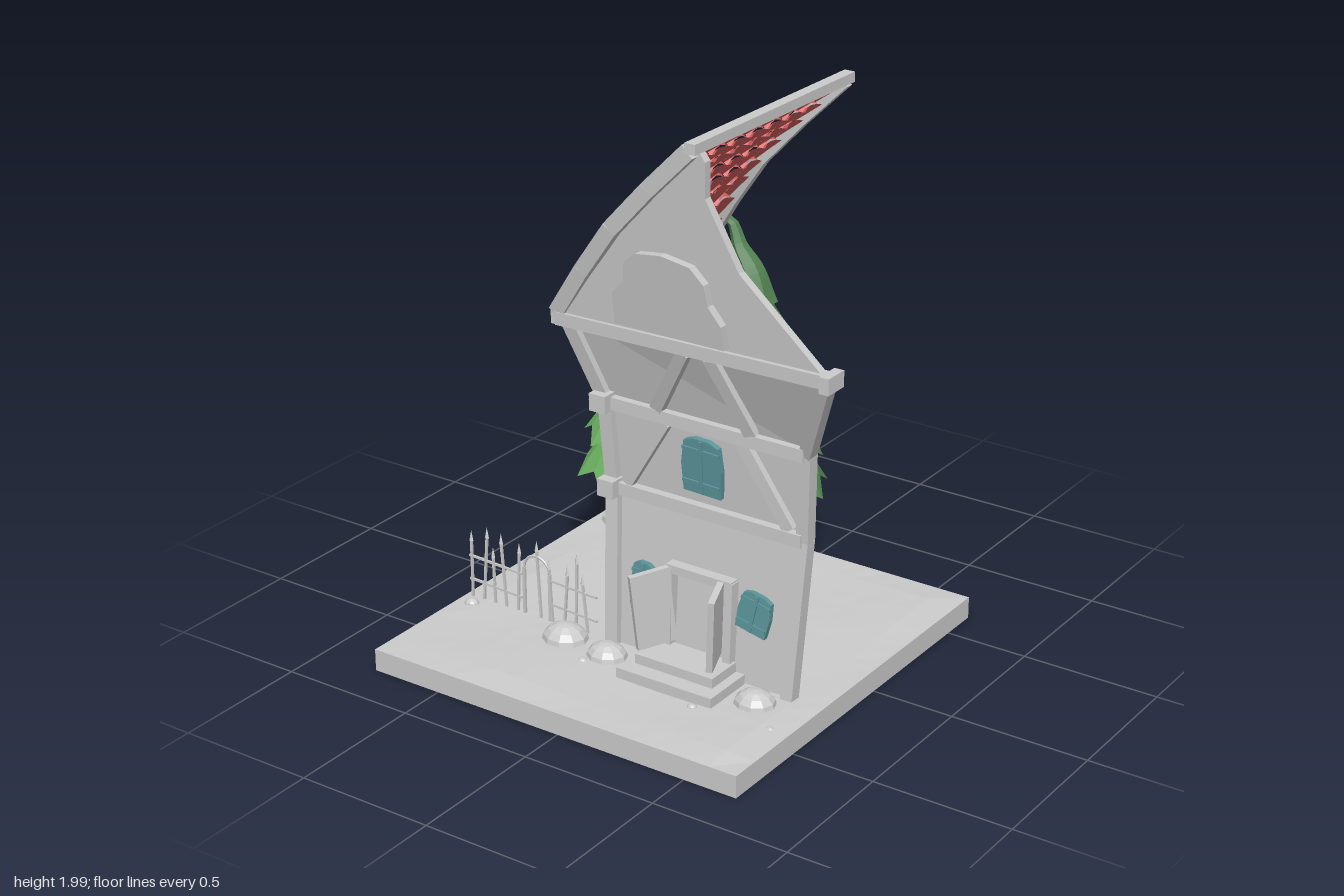
import * as THREE from 'three';

const V = (x, y, z) => new THREE.Vector3(x, y, z);
const mat = (color) => new THREE.MeshStandardMaterial({ color, flatShading: true, side: THREE.DoubleSide });
const grey = mat(0xcccccc), red = mat(0xd66060), teal = mat(0x5c969b);
const lightGreen = mat(0x70b865), darkGreen = mat(0x548353);

function add(parent, name, geometry, material = grey, x = 0, y = 0, z = 0) {
  const m = new THREE.Mesh(geometry, material);
  m.name = name;
  m.position.set(x, y, z);
  parent.add(m);
  return m;
}
// Surface through equal-length rows of points
function loft(rows) {
  const n = rows[0].length, index = [];
  for (let i = 0; i < rows.length - 1; i++) for (let j = 0; j < n - 1; j++) {
    const a = i * n + j;
    index.push(a, a + 1, a + n, a + 1, a + n + 1, a + n);
  }
  const g = new THREE.BufferGeometry().setFromPoints(rows.flat());
  g.setIndex(index);
  g.computeVertexNormals();
  return g;
}
// Rectangular timber from a to b, its depth facing "out"
function beam(parent, name, a, b, w, d, out = V(0, 0, 1)) {
  const y = b.clone().sub(a), len = y.length();
  y.normalize();
  const x = y.clone().cross(out).normalize(), z = x.clone().cross(y);
  const m = add(parent, name, new THREE.BoxGeometry(w, len, d));
  m.quaternion.setFromRotationMatrix(new THREE.Matrix4().makeBasis(x, y, z));
  m.position.copy(a).add(b).multiplyScalar(0.5);
}
const extrude = (pts, depth) => new THREE.ExtrudeGeometry(
  new THREE.Shape(pts.map(([x, y]) => new THREE.Vector2(x, y))), { depth, bevelEnabled: false });
// Leans a panel forward with height and to the right-hand end of the gable
function lean(g, y0, k) {
  const p = g.attributes.position;
  for (let i = 0; i < p.count; i++) p.setZ(i, p.getZ(i) + (p.getY(i) - y0) * k + p.getX(i) * 0.043);
  g.computeVertexNormals();
  return g;
}

// Wall levels: y, left x, right x, front z at the right, back z, front z at the left
const levels = [[0.03, -0.13, 0.57, 0.33, -0.335, 0.33], [0.65, -0.15, 0.6, 0.285, -0.32, 0.285],
  [0.97, -0.16, 0.62, 0.31, -0.35, 0.31], [1.28, -0.26, 0.76, 0.43, -0.48, 0.39]];
function at(y) {
  let i = 0;
  while (i < 2 && y > levels[i + 1][0]) i++;
  const t = (y - levels[i][0]) / (levels[i + 1][0] - levels[i][0]);
  return levels[i].map((v, k) => v + (levels[i + 1][k] - v) * t);
}
function onFront(x, y, off = 0.01) {
  const [, l, r, fr, , fl] = at(y);
  return V(x, y, fl + (fr - fl) * (x - l) / (r - l) + off);
}
const onSide = (z, y, off = 0.02) => V(at(y)[1] - off, y, z);

// Roof slope: s runs eave to ridge, t runs front to back, both 0 to 1
const profile = new THREE.CatmullRomCurve3([V(-0.285, 1.28, 0), V(-0.02, 1.64, 0), V(0.3, 1.965, 0)]);
const frontEdge = new THREE.CatmullRomCurve3([V(0, 0.41, 0), V(0.45, 0.47, 0), V(1, 0.5, 0)]);
const backEdge = new THREE.CatmullRomCurve3([V(0, -0.46, 0), V(0.45, -0.385, 0), V(1, -0.39, 0)]);
function roofPoint(s, t, lift = 0) {
  const p = profile.getPoint(s), f = frontEdge.getPoint(s).y, b = backEdge.getPoint(s).y;
  return V(p.x - lift * 0.75, p.y + lift * 0.65, f + (b - f) * t);
}

function paneWindow(parent, name, pos, w, h, ry = 0, rz = 0, rx = 0) {
  const g = new THREE.Group();
  g.name = name;
  const a = w / 2, b = h / 2;
  add(g, 'pane', extrude([[-a * 0.95, -b], [a, -b], [a * 1.05, 0], [a * 0.9, b * 0.85], [a * 0.4, b],
    [-a * 0.4, b], [-a * 0.9, b * 0.85], [-a * 1.05, 0]], 0.02), teal);
  add(g, 'mullion', new THREE.BoxGeometry(0.014, h * 0.96, 0.008), teal, 0, 0, 0.022);
  for (const k of [-0.3, 0.3]) add(g, 'glazingBar', new THREE.BoxGeometry(w * 0.96, 0.012, 0.008), teal, 0, h * k, 0.022);
  g.position.copy(pos);
  g.rotation.set(rx, ry, rz, 'YXZ');
  parent.add(g);
}

function tree(parent, name, material, x, z, bow, bend, curl, R) {
  const g = new THREE.Group();
  g.name = name;
  const centre = (y) => V(x + bow.x * Math.pow((y - 0.08) / 1.2, 3), y, z + bow.z * Math.pow((y - 0.08) / 1.2, 3));
  const trunk = new THREE.CatmullRomCurve3([V(x, 0.075, z), V(x, 0.16, z - bend), V(x, 0.26, z + bend), V(x, 0.42, z)]);
  add(g, 'trunk', new THREE.TubeGeometry(trunk, 6, 0.052, 7), material);
  // Jagged skirts of needles, alternating long and short points
  const tiers = [[0.34, 0.62, 1], [0.48, 0.76, 0.86], [0.62, 0.89, 0.74], [0.76, 1.0, 0.61], [0.9, 1.12, 0.45]];
  tiers.forEach(([y0, y1, r], k) => {
    const rows = [[], [], []], c = centre(y0), top = centre(y1), n = 16;
    for (let i = 0; i <= n; i++) {
      const a = (i / n) * Math.PI * 2 + k * 0.5, dir = V(Math.cos(a), 0, Math.sin(a)), tip = i % 2 === 0;
      const wob = 1 + 0.06 * Math.sin(2 * a + k);
      rows[0].push(c.clone().addScaledVector(dir, R * r * wob * (tip ? 1.03 : 0.87)).add(V(0, tip ? -0.025 : 0.025, 0)));
      rows[1].push(c.clone().lerp(top, 0.4).addScaledVector(dir, R * r * 0.62));
      rows[2].push(top.clone().addScaledVector(dir, R * r * 0.24));
    }
    add(g, 'needleTier', loft(rows.reverse()), material);
  });
  // Tapered crown ending in a hooked tip
  const path = new THREE.CatmullRomCurve3([centre(1.0), centre(1.12), ...curl.map((p) => V(...p))]);
  const crown = new THREE.TubeGeometry(path, 20, 1, 6), p = crown.attributes.position;
  for (let i = 0; i < p.count; i++) {
    const u = Math.floor(i / 7) / 20, c = path.getPointAt(u), v = V(0, 0, 0).fromBufferAttribute(p, i);
    v.sub(c).multiplyScalar(0.012 + 0.06 * Math.pow(1 - u, 2)).add(c);
    p.setXYZ(i, v.x, v.y, v.z);
  }
  add(g, 'crown', crown, material);
  parent.add(g);
}

export function createModel() {
  const model = new THREE.Group();
  const house = new THREE.Group();
  house.name = 'house';
  model.add(house);

  // Ground slab, open underneath
  const ground = new THREE.PlaneGeometry(1.47, 1.47, 14, 14).rotateX(-Math.PI / 2), gp = ground.attributes.position;
  for (let i = 0; i < gp.count; i++) {
    const x = gp.getX(i), z = gp.getZ(i), edge = Math.max(Math.abs(x), Math.abs(z)) > 0.73;
    if (!edge) gp.setY(i, 0.005 + 0.005 * Math.sin(x * 7) * Math.cos(z * 6));
  }
  add(model, 'ground', ground, grey, -0.035, 0.08, 0.095);
  add(model, 'groundRim', new THREE.CylinderGeometry(1.0394, 1.0394, 0.08, 4, 1, true).rotateY(Math.PI / 4), grey, -0.035, 0.04, 0.095);

  // Front wall and left-hand wall; the other two sides stay open
  add(house, 'frontWall', loft(levels.map(([y, l, r, fr, , fl]) => [V(l, y, fl), V(r, y, fr)])));
  add(house, 'sideWall', loft(levels.map(([y, l, , , b, fl]) => [V(l, y, b), V(l, y, fl)])));
  const side = V(-1, 0, 0);
  for (let i = 0; i < 3; i++) {
    const [y0, l0, r0, fr0, b0, fl0] = levels[i], [y1, l1, r1, fr1, b1, fl1] = levels[i + 1];
    beam(house, 'cornerPost', V(l0, y0, fl0), V(l1, y1, fl1), 0.05, 0.05);
    beam(house, 'cornerPost', V(r0, y0, fr0), V(r1, y1, fr1), 0.045, 0.045);
    beam(house, 'cornerPost', V(l0, y0, b0), V(l1, y1, b1), 0.05, 0.05);
  }
  beam(house, 'sill', V(-0.14, 0.06, 0.328), V(0.57, 0.06, 0.328), 0.05, 0.035);
  beam(house, 'sill', V(-0.13, 0.06, 0.33), V(-0.13, 0.06, -0.34), 0.05, 0.035, side);
  for (const y of [0.655, 0.97]) {
    const [, l, r, , b, fl] = at(y);
    beam(house, 'floorBeam', onFront(l - 0.01, y), onFront(r, y), 0.045, 0.045);
    beam(house, 'floorBeam', onSide(fl, y), onSide(b, y), 0.045, 0.035, side);
    add(house, 'beamEnd', new THREE.BoxGeometry(0.064, 0.062, 0.09), grey, l + 0.002, y + 0.003, fl + 0.02);
  }
  beam(house, 'eaveBeam', V(-0.28, 1.265, 0.405), V(0.81, 1.31, 0.46), 0.045, 0.05);
  add(house, 'beamEnd', new THREE.BoxGeometry(0.035, 0.055, 0.09), grey, 0.795, 1.31, 0.462);
  beam(house, 'eaveBeam', V(-0.28, 1.265, 0.42), V(-0.28, 1.265, -0.525), 0.05, 0.05, side);

  // Diagonal braces
  for (const [x0, y0, x1, y1] of [[-0.09, 0.68, 0.08, 0.95], [0.55, 0.68, 0.38, 0.95], [0.05, 0.99, 0.22, 1.26], [0.42, 0.99, 0.32, 1.26]])
    beam(house, 'brace', onFront(x0, y0), onFront(x1, y1), 0.045, 0.03);
  for (const [z0, y0, z1, y1] of [[0.25, 0.68, 0.07, 0.95], [-0.28, 0.68, -0.1, 0.95], [0.2, 0.99, 0.06, 1.26], [-0.22, 0.99, -0.08, 1.26]])
    beam(house, 'brace', onSide(z0, y0), onSide(z1, y1), 0.045, 0.03, side);

  // Gable with its raised panel
  add(house, 'gable', lean(extrude([[-0.27, 1.27], [0.78, 1.31], [0.46, 1.59], [0.34, 1.81], [0.345, 1.93], [0.305, 1.985],
    [0.14, 1.83], [-0.03, 1.66], [-0.17, 1.475], [-0.29, 1.31]], 0.03), 1.28, 0.06), grey, 0, 0, 0.4);
  add(house, 'gablePanel', lean(extrude([[0, 1.33], [0.43, 1.34], [0.425, 1.42], [0.38, 1.48], [0.37, 1.55], [0.32, 1.6], [0.21, 1.615],
    [0.11, 1.6], [0.06, 1.56], [0.05, 1.49], [0, 1.44]], 0.03), 1.33, 0.13), grey, 0, 0, 0.455);

  // Roof frame
  for (const t of [0, 1]) for (let i = 0; i < 4; i++)
    beam(house, 'bargeBoard', roofPoint(i / 4, t), roofPoint((i + 1) / 4, t), 0.03, 0.055, V(-0.7, 0.7, 0));
  beam(house, 'ridgeBoard', V(0.31, 1.975, 0.515), V(0.31, 1.975, -0.405), 0.04, 0.035, V(0, 1, 0));

  // Curved roof tiles in overlapping courses, hollowed along their lower edges
  const tiles = new THREE.Group();
  tiles.name = 'roofTiles';
  house.add(tiles);
  const N = 8;
  for (let c = 0; c < N; c++) for (let k = 0; k < N; k++) {
    const rows = [[], [], [], []];
    const s = 0.97 * (c + 0.07 * ((k * 3 + c) % 3)) / N;
    for (let j = 0; j <= 4; j++) {
      const q = j / 4, arch = Math.sin(q * Math.PI), t = 0.02 + 0.96 * (k + 0.015 + 0.97 * q) / N;
      rows[0].push(roofPoint(s + 0.02 * arch, t, -0.012 + 0.016 * arch));
      rows[1].push(roofPoint(s + 0.02 * arch, t, 0.004 + 0.016 * arch));
      rows[2].push(roofPoint(s + 0.07, t, -0.006 + 0.016 * arch));
      rows[3].push(roofPoint(Math.min(1, s + 0.145), t, -0.016 + 0.014 * arch));
    }
    add(tiles, 'tile', loft(rows), red);
  }

  // Windows
  paneWindow(house, 'upperWindow', onFront(0.217, 0.82, 0), 0.15, 0.2, 0, -0.03, 0.08);
  paneWindow(house, 'lowerWindow', onFront(-0.018, 0.33, 0), 0.085, 0.16, 0, -0.06, -0.07);
  paneWindow(house, 'lowerWindow', onFront(0.43, 0.35, 0), 0.12, 0.14, 0, -0.2, -0.07);
  for (const z of [0.17, -0.2]) paneWindow(house, 'sideWindow', onSide(z, 0.82, 0.008), 0.13, 0.2, -Math.PI / 2);
  add(house, 'wallCabinet', new THREE.BoxGeometry(0.1, 0.26, 0.19), grey, -0.1, 0.84, 0.13);
  add(house, 'cupboard', new THREE.BoxGeometry(0.1, 0.35, 0.17), grey, 0.38, 0.3, 0.185);

  // Doorway with open leaves and steps
  beam(house, 'doorLintel', V(0.09, 0.43, 0.32), V(0.35, 0.43, 0.32), 0.03, 0.04);
  for (const x of [0.1, 0.34]) beam(house, 'doorJamb', V(x, 0.14, 0.335), V(x, 0.44, 0.32), 0.03, 0.04);
  beam(house, 'doorLeaf', V(0.08, 0.16, 0.38), V(0.065, 0.435, 0.405), 0.14, 0.022, V(0.84, 0, 0.54));
  beam(house, 'doorLeaf', V(0.31, 0.16, 0.38), V(0.335, 0.435, 0.405), 0.13, 0.022, V(-0.94, 0, 0.34));
  add(house, 'lowerStep', new THREE.BoxGeometry(0.38, 0.04, 0.2), grey, 0.21, 0.1, 0.43);
  add(house, 'upperStep', new THREE.BoxGeometry(0.31, 0.04, 0.14), grey, 0.21, 0.135, 0.4);

  // Iron fence with an arched gate
  const fence = new THREE.Group();
  fence.name = 'fence';
  model.add(fence);
  for (let i = 0; i < 11; i++) {
    const x = -0.74 + i * 0.05, h = 0.3 + 0.04 * Math.sin(i * 2.3), tilt = 0.02 * Math.sin(i * 1.7);
    if (i === 5) continue;
    beam(fence, 'picket', V(x, 0.08, 0.335), V(x + tilt, h, 0.335), 0.008, 0.008);
    add(fence, 'spike', new THREE.ConeGeometry(0.009, 0.04, 4), grey, x + tilt, h + 0.018, 0.335);
  }
  for (const y of [0.15, 0.24]) for (const [a, b] of [[-0.75, -0.52], [-0.4, -0.2]])
    beam(fence, 'rail', V(a, y, 0.335), V(b, y - 0.01, 0.335), 0.008, 0.007);
  add(fence, 'gateArch', new THREE.TorusGeometry(0.055, 0.005, 5, 12, Math.PI), grey, -0.455, 0.26, 0.335);
  for (const x of [-0.51, -0.4]) beam(fence, 'gatePost', V(x, 0.08, 0.335), V(x, 0.26, 0.335), 0.01, 0.01);

  // Domed stones on the ground
  for (const [x, z, r] of [[-0.28, 0.41, 0.085], [-0.09, 0.43, 0.075], [0.5, 0.42, 0.075], [-0.71, 0.38, 0.028], [-0.68, -0.45, 0.065],
    [-0.34, -0.5, 0.08], [-0.2, -0.42, 0.07], [0.34, 0.55, 0.018], [0.63, 0.53, 0.015], [-0.14, 0.5, 0.02]])
    add(model, 'stone', new THREE.SphereGeometry(r, 10, 4, 0, Math.PI * 2, 0, Math.PI / 2).scale(1, 0.75, 0.9), grey, x, 0.08, z);

  // Bent fir trees
  tree(model, 'lightTree', lightGreen, -0.56, -0.44, V(0.03, 0, -0.02), 0.03, [[-0.52, 1.25, -0.46],
    [-0.545, 1.36, -0.53], [-0.565, 1.44, -0.575], [-0.585, 1.41, -0.595], [-0.57, 1.36, -0.555]], 0.25);
  tree(model, 'darkTree', darkGreen, -0.12, -0.61, V(-0.12, 0, 0), 0.005, [[-0.25, 1.2, -0.61],
    [-0.29, 1.29, -0.61], [-0.33, 1.29, -0.6], [-0.36, 1.25, -0.59], [-0.31, 1.23, -0.59]], 0.225);
  return model;
}
